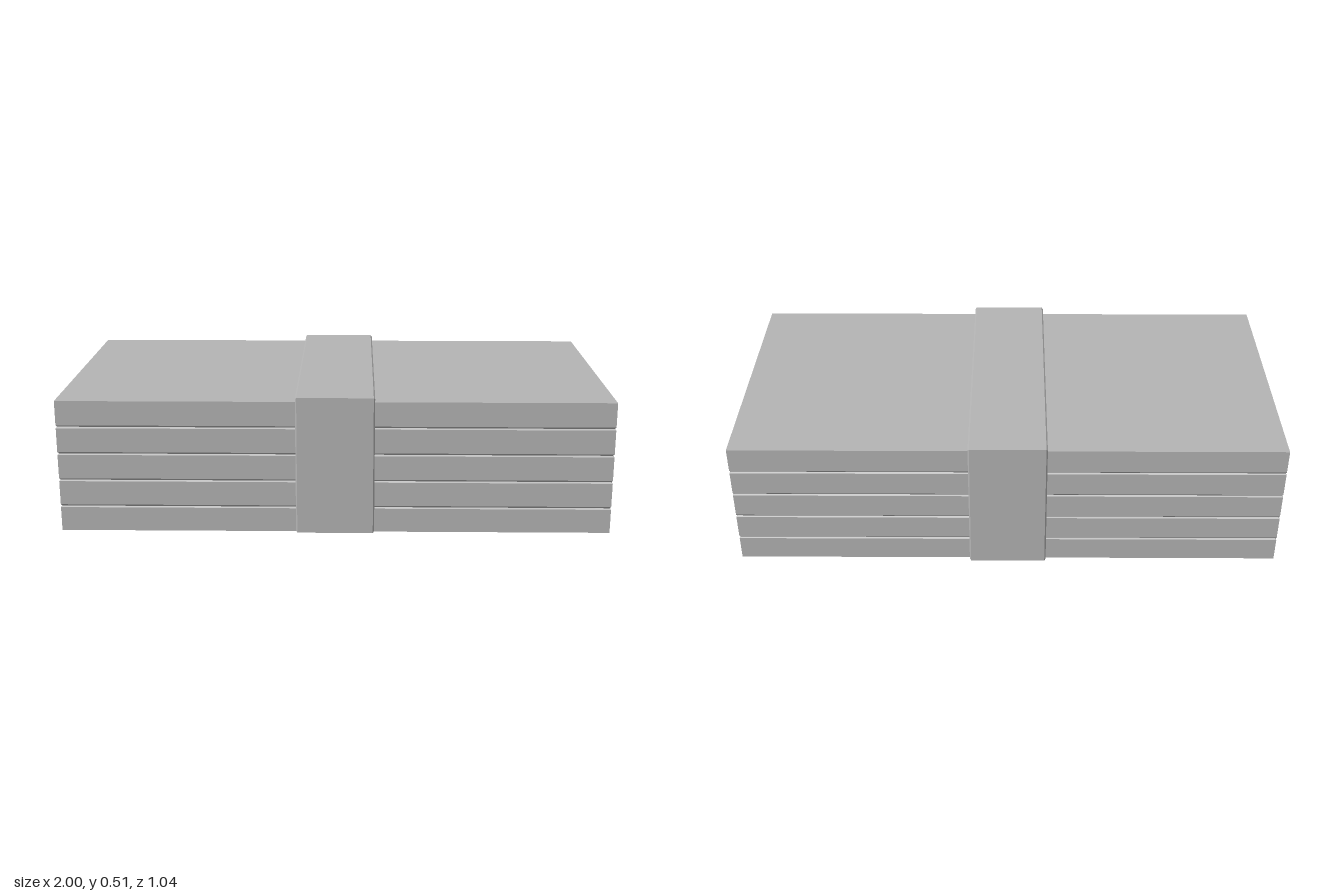
import * as THREE from 'three';

// Stacks rectangular rings [y, inset] into a closed block
function ringBlock(halfX, halfZ, rings) {
  const pos = [], idx = [];
  const corners = [[-1, 1], [1, 1], [1, -1], [-1, -1]];
  for (const [y, inset] of rings) {
    for (const [sx, sz] of corners) pos.push(sx * (halfX - inset), y, sz * (halfZ - inset));
  }
  for (let r = 0; r < rings.length - 1; r++) {
    for (let i = 0; i < 4; i++) {
      const a = r * 4 + i, b = r * 4 + (i + 1) % 4;
      idx.push(a, b, b + 4, a, b + 4, a + 4);
    }
  }
  const t = (rings.length - 1) * 4;
  idx.push(t, t + 1, t + 2, t, t + 2, t + 3, 0, 2, 1, 0, 3, 2);
  const indexed = new THREE.BufferGeometry();
  indexed.setAttribute('position', new THREE.Float32BufferAttribute(pos, 3));
  indexed.setIndex(idx);
  const geometry = indexed.toNonIndexed();
  geometry.computeVertexNormals();
  return geometry;
}

export function createModel() {
  const group = new THREE.Group();
  const grey = new THREE.MeshStandardMaterial({ color: 0xb4b4b4 });
  grey.name = 'grey';

  // Five layers separated by shallow V grooves
  const rings = [];
  for (let i = 0; i < 5; i++) {
    const y = i * 0.1;
    rings.push([y, 0], [y + 0.089, 0]);
    if (i < 4) rings.push([y + 0.0935, 0.005]);
  }
  rings[rings.length - 1][0] = 0.49;
  const stack = new THREE.Mesh(ringBlock(1, 0.5, rings), grey);
  stack.name = 'layeredStack';
  group.add(stack);

  // Wrapping band with narrow bevelled edges
  const bevel = 0.005, halfW = 0.142, halfZ = 0.52 - bevel;
  const low = 0.002 + bevel, high = 0.51 - bevel;
  const shape = new THREE.Shape();
  shape.moveTo(-halfZ, low);
  shape.lineTo(halfZ, low);
  shape.lineTo(halfZ, high);
  shape.lineTo(-halfZ, high);
  shape.closePath();
  const bandGeometry = new THREE.ExtrudeGeometry(shape, {
    depth: 2 * (halfW - bevel), bevelEnabled: true,
    bevelSize: bevel, bevelThickness: bevel, bevelSegments: 1,
  });
  bandGeometry.translate(0, 0, bevel - halfW);
  bandGeometry.rotateY(Math.PI / 2);
  const band = new THREE.Mesh(bandGeometry, grey);
  band.name = 'wrappingBand';
  group.add(band);

  return group;
}
